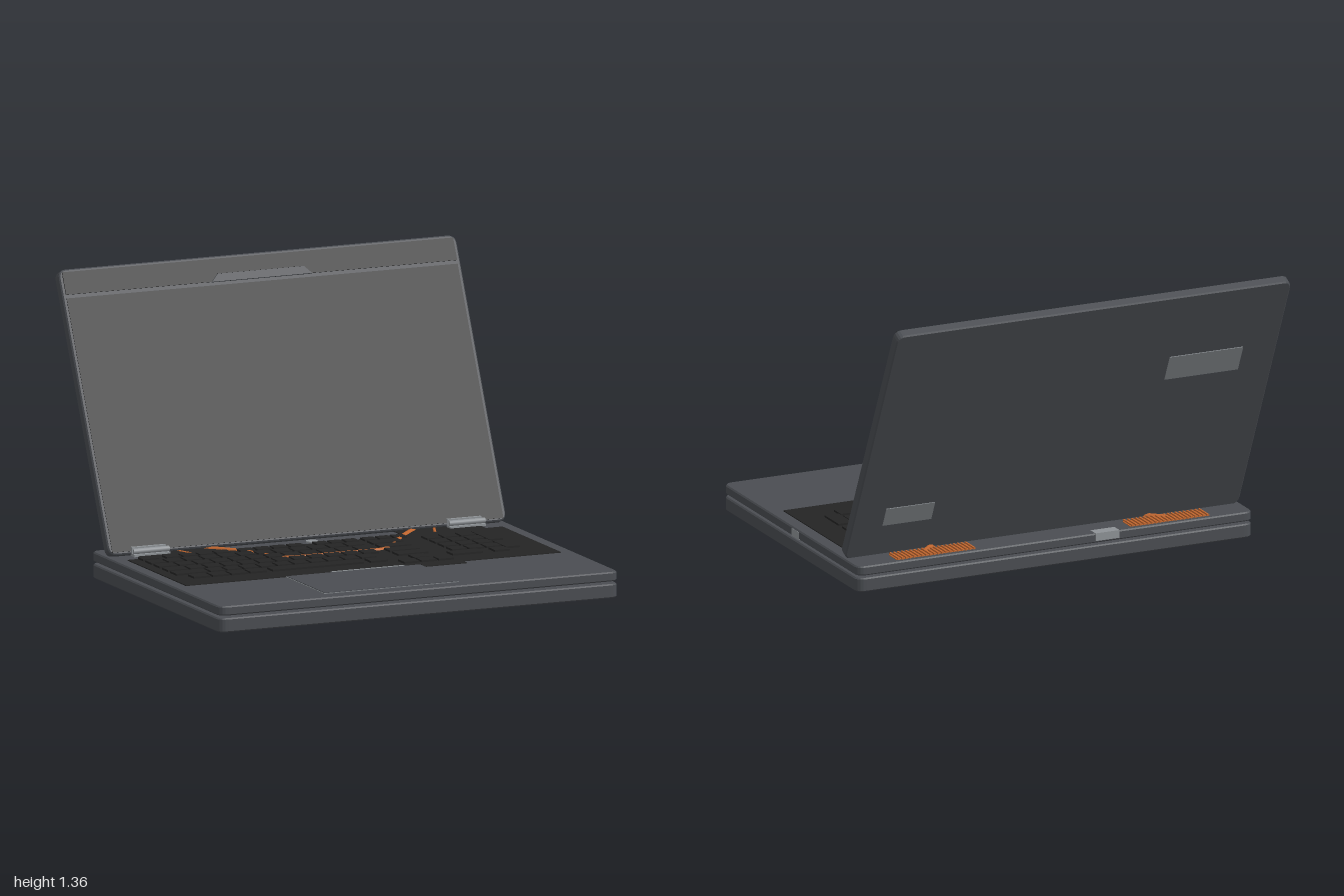
import * as THREE from 'three';

const mat = (name, color, extra = {}) => {
  const m = new THREE.MeshStandardMaterial({ color, ...extra });
  m.name = name;
  return m;
};

export function createModel() {
  const shell = mat('gunmetal shell', 0x4a4d52);
  const dark = mat('black plastic', 0x242424);
  const metal = mat('light metal', 0x8e9296);
  const label = mat('grey label', 0x7c8084);
  const copper = mat('copper', 0xc0662f);

  const model = new THREE.Group();
  model.name = 'laptop';

  const add = (parent, name, geometry, material, x = 0, y = 0, z = 0) => {
    const mesh = new THREE.Mesh(geometry, material);
    mesh.name = name;
    mesh.position.set(x, y, z);
    parent.add(mesh);
    return mesh;
  };

  // box given by its limits on each axis
  const span = (parent, name, material, x0, x1, y0, y1, z0, z1) =>
    add(parent, name, new THREE.BoxGeometry(x1 - x0, y1 - y0, z1 - z0), material,
      (x0 + x1) / 2, (y0 + y1) / 2, (z0 + z1) / 2);

  // rounded rectangular slab with small chamfers, lying in XY and centred
  const slab = (w, h, depth, radius, bevel = 0.006) => {
    const a = w / 2 - bevel, b = h / 2 - bevel, r = radius;
    const s = new THREE.Shape();
    s.moveTo(-a + r, -b);
    s.lineTo(a - r, -b); s.quadraticCurveTo(a, -b, a, -b + r);
    s.lineTo(a, b - r); s.quadraticCurveTo(a, b, a - r, b);
    s.lineTo(-a + r, b); s.quadraticCurveTo(-a, b, -a, b - r);
    s.lineTo(-a, -b + r); s.quadraticCurveTo(-a, -b, -a + r, -b);
    const g = new THREE.ExtrudeGeometry(s, {
      depth: depth - 2 * bevel, bevelEnabled: true, bevelSize: bevel,
      bevelThickness: bevel, bevelSegments: 1, curveSegments: 5,
    });
    return g.translate(0, 0, bevel - depth / 2);
  };

  // lower and upper halves of the body, with a thin open gap between them
  const base = new THREE.Group();
  base.name = 'base';
  model.add(base);
  add(base, 'bottomCase', slab(2, 1.43, 0.066, 0.04).rotateX(-Math.PI / 2), shell, 0, 0.033, 0.205);
  add(base, 'topCase', slab(2, 1.43, 0.044, 0.04).rotateX(-Math.PI / 2), shell, 0, 0.1, 0.205);
  span(base, 'spacer', dark, -0.38, -0.2, 0.064, 0.08, 0.45, 0.7);
  span(base, 'spacer', dark, 0.52, 0.83, 0.064, 0.08, -0.38, -0.04);
  span(base, 'spacer', dark, -0.8, -0.55, 0.064, 0.08, -0.38, -0.1);

  // ports and power button
  span(base, 'sidePort', metal, 0.94, 1.002, 0.078, 0.115, 0.11, 0.19);
  span(base, 'rearPort', metal, -0.32, -0.2, 0.088, 0.125, -0.514, -0.46);
  add(base, 'powerButton', new THREE.CylinderGeometry(0.028, 0.028, 0.012, 16), metal, 0, 0.124, -0.27);

  // trackpad with a thin raised border
  span(base, 'trackpadBorder', label, -0.442, 0.232, 0.118, 0.125, 0.418, 0.842);
  span(base, 'trackpad', shell, -0.438, 0.228, 0.118, 0.128, 0.422, 0.838);
  span(base, 'trackpadLatch', metal, -0.215, 0.15, 0.118, 0.13, 0.412, 0.42);

  // keyboard deck
  const keyboard = new THREE.Group();
  keyboard.name = 'keyboard';
  base.add(keyboard);
  span(keyboard, 'keyboardDeck', dark, -0.94, 0.935, 0.118, 0.126, -0.23, 0.415);
  span(keyboard, 'arrowDeck', dark, 0.235, 0.445, 0.118, 0.126, 0.41, 0.46);
  span(keyboard, 'rearGrille', dark, -0.86, -0.44, 0.118, 0.125, -0.34, -0.23);
  span(keyboard, 'rearGrille', dark, 0.44, 0.855, 0.118, 0.125, -0.34, -0.23);

  const key = (x0, x1, z0, z1) => span(keyboard, 'key', dark, x0, x1, 0.12, 0.135, z0, z1);
  const keyRun = (x0, x1, n, z0, z1) => {
    const pitch = (x1 - x0 + 0.012) / n;
    for (let i = 0; i < n; i++) key(x0 + i * pitch, x0 + (i + 1) * pitch - 0.012, z0, z1);
  };
  // function row
  key(-0.89, -0.81, -0.225, -0.17);
  [-0.77, -0.4, -0.02].forEach((x) => keyRun(x, x + 0.32 - (x > -0.1 ? 0.11 : 0), x > -0.1 ? 3 : 4, -0.225, -0.17));
  keyRun(0.22, 0.43, 3, -0.225, -0.17);
  // main rows: start z, width of the first key, number of letter keys, end x
  [[-0.148, 0.075, 11, 0.175], [-0.057, 0.09, 11, 0.18], [0.038, 0.1, 11, 0.165], [0.13, 0.16, 10, 0.11]]
    .forEach(([z, first, n, end]) => {
      key(-0.89, -0.89 + first, z, z + 0.07);
      keyRun(-0.878 + first, end, n, z, z + 0.07);
      key(0.22, 0.37, z, z + 0.07);
      keyRun(0.49, 0.735, 3, z, z + 0.07);
    });
  // bottom row, arrows and the tall number pad keys
  keyRun(-0.845, -0.48, 4, 0.225, 0.295);
  key(-0.45, 0.005, 0.225, 0.295);
  key(0.04, 0.125, 0.225, 0.295);
  key(0.257, 0.333, 0.225, 0.295);
  key(0.45, 0.6, 0.225, 0.295);
  key(0.66, 0.735, 0.225, 0.295);
  keyRun(0.17, 0.42, 3, 0.305, 0.375);
  key(0.74, 0.81, -0.148, 0.055);
  key(0.74, 0.81, 0.092, 0.24);

  // copper heat pipe showing through the keyboard
  const cooling = new THREE.Group();
  cooling.name = 'cooling';
  base.add(cooling);
  const pipe = (points, r) => {
    const path = new THREE.CurvePath();
    const v = points.map(([x, z]) => new THREE.Vector3(x, 0.121, z));
    for (let i = 1; i < v.length; i++) path.add(new THREE.LineCurve3(v[i - 1], v[i]));
    add(cooling, 'heatPipe', new THREE.TubeGeometry(path, 60, r, 8), copper);
  };
  pipe([[-0.6, -0.42], [-0.47, -0.31], [-0.38, -0.21], [-0.28, 0], [-0.24, 0.028],
    [0.2, 0.033], [0.27, 0], [0.42, -0.21], [0.51, -0.31], [0.62, -0.42]], 0.014);

  // rear copper fin stacks with a thin feed pipe each
  for (const side of [-1, 1]) {
    pipe([[side * 0.65, -0.36], [side * 0.6, -0.235]], 0.008);
    span(cooling, 'finBase', copper, side * 0.59 - 0.2, side * 0.59 + 0.2, 0.1, 0.125, -0.48, -0.4);
    for (let i = 0; i < 20; i++) {
      const x = side * 0.59 - 0.19 + i * 0.02;
      span(cooling, 'fin', copper, x - 0.004, x + 0.004, 0.12, 0.132, -0.485, -0.39);
    }
  }

  // hinges
  for (const side of [-1, 1]) {
    const hinge = new THREE.Group();
    hinge.name = 'hinge';
    hinge.position.set(side * 0.79, 0, 0);
    model.add(hinge);
    span(hinge, 'hingePlate', metal, -0.09, 0.09, 0.12, 0.133, -0.33, -0.288);
    span(hinge, 'hingeLeaf', metal, -0.095, 0.075, 0.135, 0.165, -0.335, -0.305);
    add(hinge, 'hingeBarrel', new THREE.CylinderGeometry(0.013, 0.013, 0.18, 12).rotateZ(Math.PI / 2),
      metal, 0, 0.146, -0.305);
  }

  // lid, leaning back from its front lower edge; local z = 0 is its face
  const lid = new THREE.Group();
  lid.name = 'lid';
  lid.position.set(0, 0.135, -0.312);
  lid.rotation.x = -0.435;
  model.add(lid);
  add(lid, 'lidShell', slab(1.99, 1.35, 0.05, 0.035), shell, 0, 0.675, -0.025);
  span(lid, 'screen', dark, -0.978, 0.978, 0.012, 1.213, -0.004, 0.003);

  // upper bezel, notched around the camera tab
  const bezel = new THREE.Shape([
    [-0.978, 1.23], [-0.25, 1.23], [-0.215, 1.266], [0.215, 1.266], [0.25, 1.23],
    [0.978, 1.23], [0.978, 1.336], [-0.978, 1.336],
  ].map(([x, y]) => new THREE.Vector2(x, y)));
  add(lid, 'upperBezel', new THREE.ExtrudeGeometry(bezel, { depth: 0.009, bevelEnabled: false }), dark, 0, 0, -0.004);
  const tab = new THREE.Shape([[-0.25, 1.228], [0.25, 1.228], [0.215, 1.264], [-0.215, 1.264]]
    .map(([x, y]) => new THREE.Vector2(x, y)));
  add(lid, 'cameraTab', new THREE.ExtrudeGeometry(tab, { depth: 0.016, bevelEnabled: false }), shell, 0, 0, -0.004);

  // plain labels on the back of the lid
  span(lid, 'largeLabel', label, -0.82, -0.45, 0.85, 0.985, -0.054, -0.048);
  span(lid, 'smallLabel', label, 0.595, 0.84, 0.185, 0.285, -0.054, -0.048);

  return model;
}
